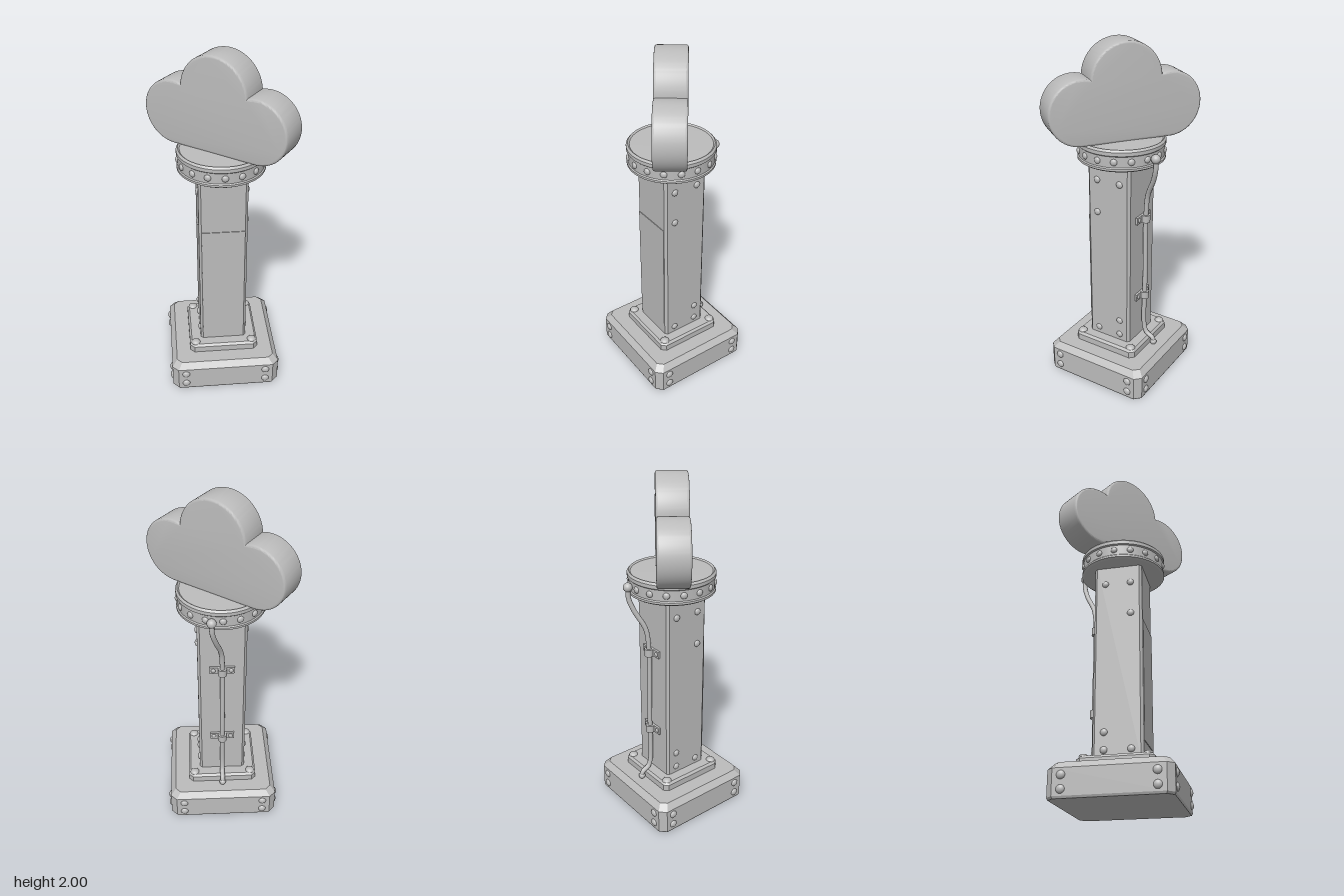
import * as THREE from 'three';
import { toCreasedNormals } from 'three/addons/utils/BufferGeometryUtils.js';

const stone = new THREE.MeshStandardMaterial({ color: 0xbcbcbc });
stone.name = 'grey stone';

function add(parent, name, geometry, x = 0, y = 0, z = 0) {
  const mesh = new THREE.Mesh(geometry, stone);
  mesh.name = name;
  mesh.position.set(x, y, z);
  parent.add(mesh);
  return mesh;
}

// Square block with cut corners, lofted through levels of [height, half width, corner cut]
function loftedBlock(levels) {
  const positions = [], index = [];
  for (const [y, h, c] of levels) {
    const k = h - c;
    const ring = [[h, k], [k, h], [-k, h], [-h, k], [-h, -k], [-k, -h], [k, -h], [h, -k]];
    for (const [x, z] of ring) positions.push(x, y, z);
  }
  const last = (levels.length - 1) * 8;
  for (let r = 0; r < last; r += 8) {
    for (let i = 0; i < 8; i++) {
      const j = (i + 1) % 8;
      index.push(r + i, r + 8 + i, r + 8 + j, r + i, r + 8 + j, r + j);
    }
  }
  for (let i = 1; i < 7; i++) {
    index.push(0, i, i + 1);
    index.push(last, last + i + 1, last + i);
  }
  const geo = new THREE.BufferGeometry();
  geo.setAttribute('position', new THREE.Float32BufferAttribute(positions, 3));
  geo.setIndex(index);
  return toCreasedNormals(geo, 0.3);
}

// Domed rivet whose head points along the given direction
function rivet(parent, radius, x, y, z, direction) {
  const geo = new THREE.SphereGeometry(radius, 14, 6, 0, Math.PI * 2, 0, Math.PI / 2);
  geo.scale(1, 0.65, 1);
  const mesh = add(parent, 'rivet', geo, x, y, z);
  mesh.quaternion.setFromUnitVectors(new THREE.Vector3(0, 1, 0), direction);
}

// Three-lobed cloud outline with a flat underside
function cloudShape() {
  const cx = 0.25, cy = 1.645, r = 0.18, topY = 1.8, topR = 0.2;
  const dx = -cx, dy = topY - cy, d = Math.hypot(dx, dy);
  const a = (r * r - topR * topR + d * d) / (2 * d);
  const h = Math.sqrt(r * r - a * a);
  const nx = cx + (a * dx + h * dy) / d;
  const ny = cy + (a * dy - h * dx) / d;
  const side = Math.atan2(ny - cy, nx - cx);
  const top = Math.atan2(ny - topY, nx);
  const shape = new THREE.Shape();
  shape.moveTo(-cx, cy - r);
  shape.lineTo(cx, cy - r);
  shape.absarc(cx, cy, r, -Math.PI / 2, side, false);
  shape.absarc(0, topY, topR, top, Math.PI - top, false);
  shape.absarc(-cx, cy, r, Math.PI - side, Math.PI * 1.5, false);
  return shape;
}

export function createModel() {
  const model = new THREE.Group();
  model.name = 'cloudPillar';

  // Stepped foot
  add(model, 'base', loftedBlock([
    [0, 0.315, 0.035], [0.012, 0.32, 0.035], [0.15, 0.32, 0.035], [0.185, 0.29, 0.03],
  ]));
  add(model, 'plinth', loftedBlock([
    [0.18, 0.205, 0.025], [0.222, 0.205, 0.025], [0.236, 0.193, 0.022],
  ]));

  // Square shaft with a slightly raised middle panel on the front
  add(model, 'column', loftedBlock([[0.23, 0.137, 0.014], [1.37, 0.137, 0.014]]));
  add(model, 'frontPanel', new THREE.BoxGeometry(0.245, 0.69, 0.006), 0, 0.665, 0.138);

  // Round collar with a raised rim
  const collar = [
    [0, 1.35], [0.232, 1.35], [0.244, 1.358], [0.244, 1.37], [0.238, 1.376], [0.238, 1.436],
    [0.245, 1.442], [0.245, 1.462], [0.235, 1.474], [0.226, 1.466], [0, 1.472],
  ].map(([x, y]) => new THREE.Vector2(x, y));
  add(model, 'collar', toCreasedNormals(new THREE.LatheGeometry(collar, 56), 0.5));

  // Thick cloud panel turned across the pillar
  const depth = 0.172, bevel = 0.012;
  const cloud = new THREE.ExtrudeGeometry(cloudShape(), {
    depth: depth - 2 * bevel, curveSegments: 28, bevelEnabled: true,
    bevelThickness: bevel, bevelSize: bevel, bevelOffset: -bevel, bevelSegments: 3,
  });
  cloud.translate(0, 0, -depth / 2 + bevel);
  add(model, 'cloud', toCreasedNormals(cloud, 0.6)).rotation.y = -0.637;

  // Rivets
  const rivets = new THREE.Group();
  rivets.name = 'rivets';
  model.add(rivets);
  for (let i = 0; i < 16; i++) {
    const t = (i / 16) * Math.PI * 2;
    const out = new THREE.Vector3(Math.sin(t), 0, Math.cos(t));
    rivet(rivets, 0.019, out.x * 0.237, 1.406, out.z * 0.237, out);
  }
  const up = new THREE.Vector3(0, 1, 0);
  for (const s of [-1, 1]) {
    const outX = new THREE.Vector3(s, 0, 0), outZ = new THREE.Vector3(0, 0, s);
    for (const t of [-0.24, 0.24]) {
      for (const y of [0.045, 0.115]) {
        rivet(rivets, 0.023, s * 0.318, y, t, outX);
        rivet(rivets, 0.023, t, y, s * 0.318, outZ);
      }
      rivet(rivets, 0.027, s * 0.17, 0.234, Math.sign(t) * 0.17, up);
    }
    const spots = [[1.245, 0.073], [1.245, -0.073], [1.05, 0.073], [0.37, -0.073], [0.275, 0.073], [0.275, -0.073]];
    for (const [y, z] of spots) rivet(rivets, 0.02, s * 0.136, y, z, outX);
  }

  // Cable up the back, ending in a knob on the collar
  const path = new THREE.CatmullRomCurve3([
    [0, 0.19, -0.232], [0, 0.225, -0.222], [0, 0.25, -0.18], [0, 0.3, -0.163], [0, 0.6, -0.163],
    [0, 1.05, -0.163], [0.008, 1.16, -0.177], [0.04, 1.27, -0.228], [0.057, 1.34, -0.25], [0.06, 1.405, -0.252],
  ].map((p) => new THREE.Vector3(...p)));
  add(model, 'cable', new THREE.TubeGeometry(path, 90, 0.014, 10));
  add(model, 'cableKnob', new THREE.SphereGeometry(0.026, 18, 12), 0.06, 1.406, -0.252);
  add(model, 'cableFoot', new THREE.SphereGeometry(0.02, 14, 10), 0, 0.2, -0.228);

  // Cable clamps
  for (const y of [0.515, 1.015]) {
    const clamp = new THREE.Group();
    clamp.name = 'cableClamp';
    clamp.position.y = y;
    model.add(clamp);
    add(clamp, 'clampStrap', new THREE.BoxGeometry(0.14, 0.042, 0.016), 0, 0, -0.142);
    add(clamp, 'clampLoop', new THREE.CylinderGeometry(0.025, 0.025, 0.044, 16), 0, 0, -0.162);
    for (const x of [-0.05, 0.05]) rivet(clamp, 0.013, x, 0, -0.149, new THREE.Vector3(0, 0, -1));
  }
  return model;
}
